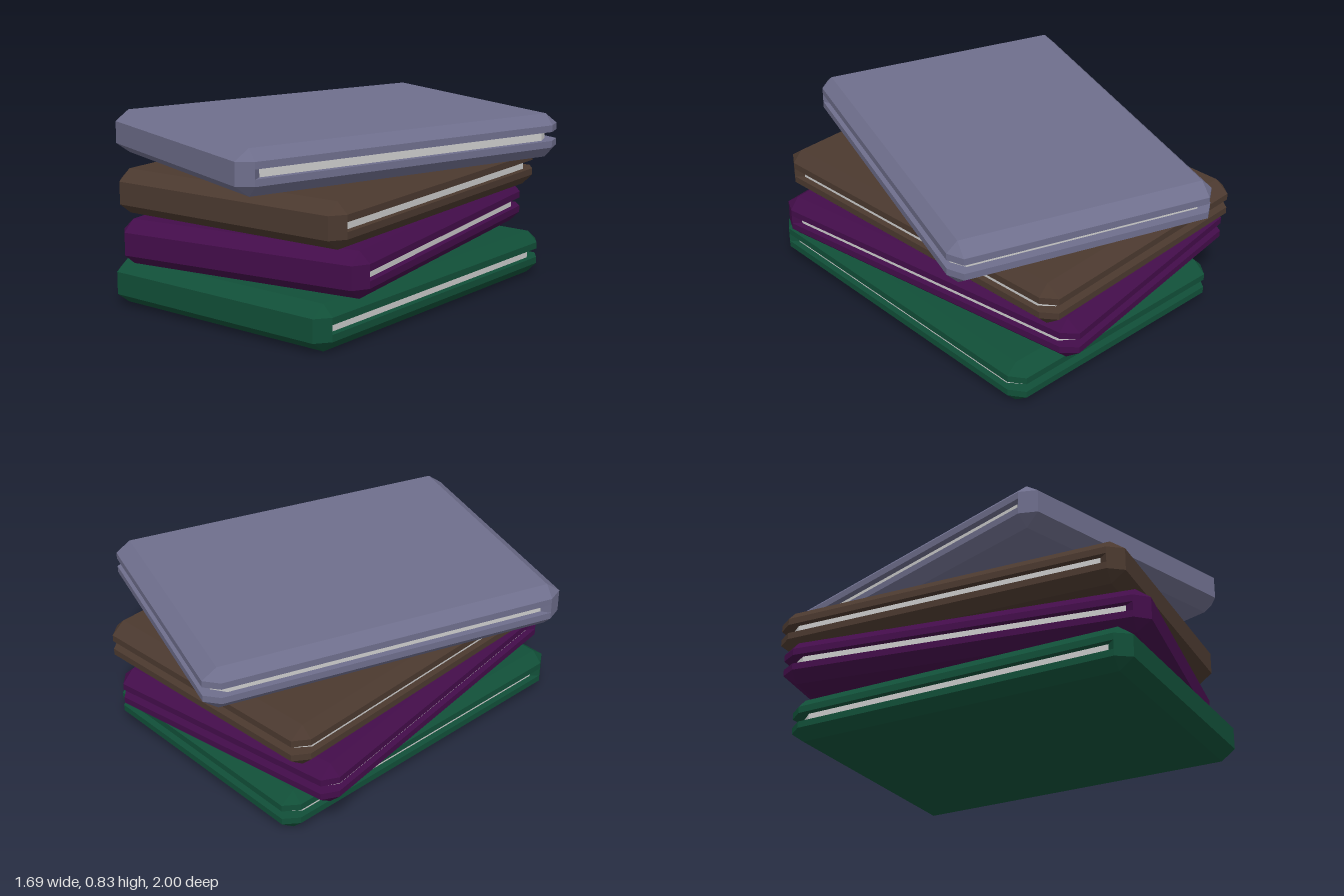
import * as THREE from 'three';
import { ConvexGeometry } from 'three/addons/geometries/ConvexGeometry.js';

const W = 0.625, D = 0.86, H = 0.205;      // half width, half depth, thickness
const CX = 0.05, CY = 0.05, CZ = 0.068;    // chamfers
const GAP = 0.021;                         // half height of the page groove
const PX = 0.595, PZ = 0.815, PCZ = 0.755; // page block half sizes and corner start

const mirror = (pts) => pts.flatMap(([x, z]) => [[x, z], [-x, z]]);
const at = (pts, y) => pts.map(([x, z]) => new THREE.Vector3(x, y, z));

// corner-cut outline of the covers, and the plain rectangle of their flat faces
const outline = mirror([[W, D - CZ], [W - CX, D], [W, CZ - D], [W - CX, -D]]);
const flatFace = mirror([[W - CX, D - CZ], [W - CX, CZ - D]]);
const spineOutline = mirror([[W, D - CZ], [W - CX, D], [PX, PCZ]]);
const pageOutline = mirror([[PX, PCZ], [PX, -PCZ], [PX - CX, -PZ]]);

function solid(name, points, color) {
  const material = new THREE.MeshStandardMaterial({ color, flatShading: true });
  const mesh = new THREE.Mesh(new ConvexGeometry(points), material);
  mesh.name = name;
  return mesh;
}

function makeBook(name, color) {
  const book = new THREE.Group();
  book.name = name;
  // chamfered covers above and below the groove
  for (const [part, s] of [['topCover', 1], ['bottomCover', -1]]) {
    book.add(solid(part, [
      ...at(flatFace, s * H / 2),
      ...at(outline, s * (H / 2 - CY)),
      ...at(outline, s * GAP),
    ], color));
  }
  // spine closes the groove on the +z side, pages sit recessed in the other three
  book.add(solid('spine', [...at(spineOutline, -GAP), ...at(spineOutline, GAP)], color));
  book.add(solid('pages', [...at(pageOutline, -GAP), ...at(pageOutline, GAP)], 0xcccccc));
  return book;
}

export function createModel() {
  const stack = new THREE.Group();
  stack.name = 'bookStack';
  // name, colour, x, z, turn in degrees, from the bottom up
  const books = [
    ['greenBook', 0x114f38, 0.045, 0.06, 0],
    ['purpleBook', 0x430d4a, 0, 0.022, 9.4],
    ['brownBook', 0x4b392f, 0, 0.003, 3.4],
    ['greyBook', 0x6e6e8c, 0, 0, -18.5],
  ];
  books.forEach(([name, color, x, z, turn], i) => {
    const book = makeBook(name, color);
    book.position.set(x, H / 2 + i * 0.2075, z);
    book.rotation.y = THREE.MathUtils.degToRad(turn);
    stack.add(book);
  });
  return stack;
}
